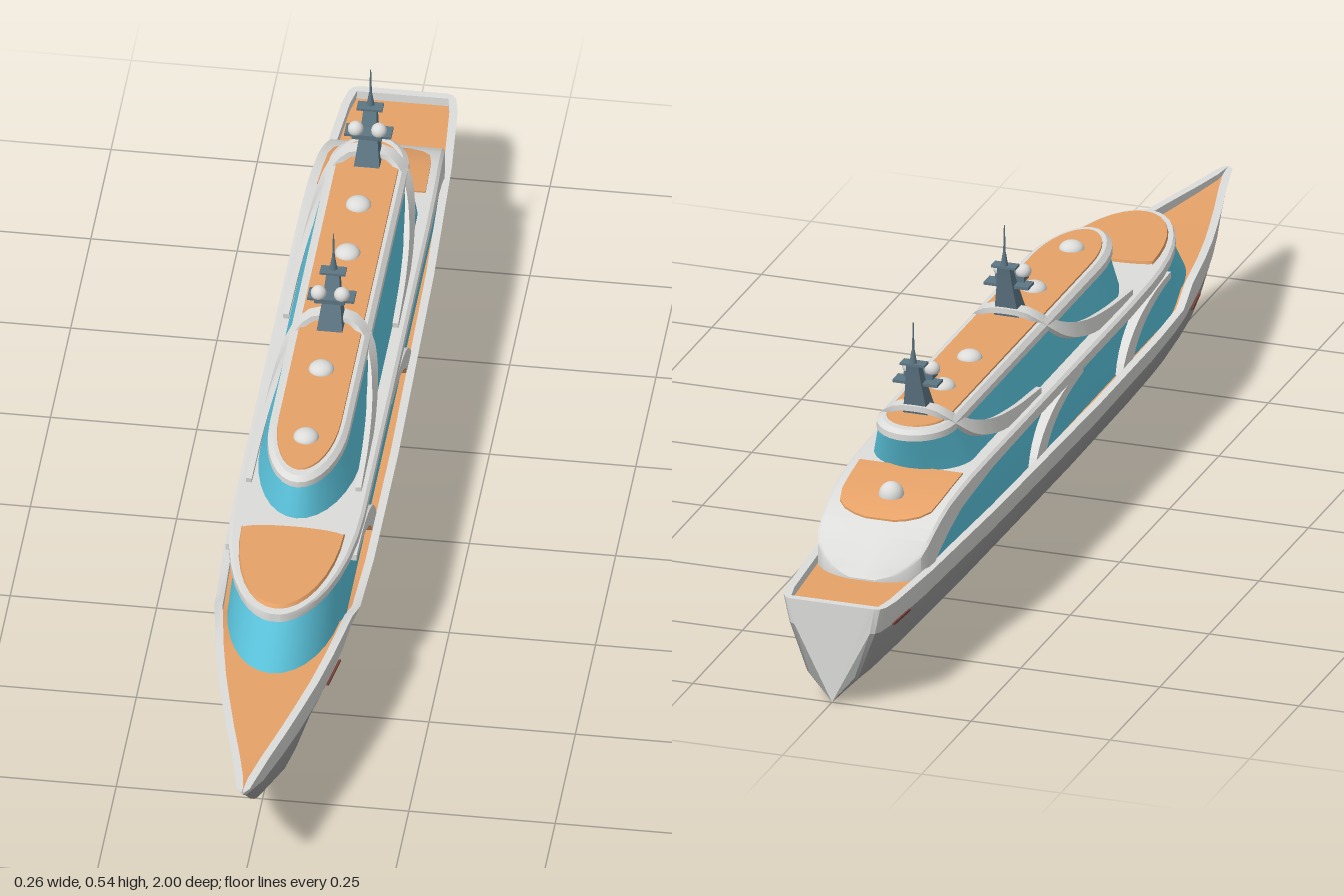
import * as THREE from 'three';
import { toCreasedNormals } from 'three/addons/utils/BufferGeometryUtils.js';

const paint = (name, color) => {
  const m = new THREE.MeshStandardMaterial({ color });
  m.name = name;
  return m;
};

export function createModel() {
  const hullGrey = paint('hullGrey', 0x9a9c9a);
  const trim = paint('trimWhite', 0xdcdcda);
  const wood = paint('deckWood', 0xe6a268);
  const glass = paint('blueGlass', 0x5ac2da);
  const steel = paint('mastSteel', 0x5d7684);
  const red = paint('bottomRed', 0x74403a);
  const model = new THREE.Group();

  const add = (name, geo, mat, parent = model) => {
    const mesh = new THREE.Mesh(geo, mat);
    mesh.name = name;
    parent.add(mesh);
    return mesh;
  };

  // Skin closed rings of [x, y, z]; each ring runs anticlockwise about the loft direction.
  const loft = (rings, columns = () => 0, crease = 0.6) => {
    const n = rings[0].length, buckets = [];
    const put = (m, ...ids) => (buckets[m] ??= []).push(...ids);
    for (let i = 0; i < rings.length - 1; i++) {
      for (let j = 0; j < n; j++) {
        const a = i * n + j, b = i * n + (j + 1) % n;
        put(columns(j, n, i), a, b, b + n, a, b + n, a + n);
      }
    }
    const end = (rings.length - 1) * n;
    for (let j = 1; j < n - 1; j++) {
      put(columns(j, n, 0), 0, j + 1, j);
      put(columns(j, n, rings.length - 2), end, end + j, end + j + 1);
    }
    const geo = new THREE.BufferGeometry();
    geo.setAttribute('position', new THREE.Float32BufferAttribute(rings.flat(2), 3));
    geo.setIndex(buckets.flat());
    let start = 0;
    buckets.forEach((b, m) => { geo.addGroup(start, b.length, m); start += b.length; });
    return toCreasedNormals(geo, crease);
  };
  // Mirror a half ring whose two ends lie on x = 0.
  const mirror = half => [...half, ...half.slice(1, -1).reverse().map(([x, y, z]) => [-x, y, z])];
  const byColumn = list => (j, n) => list[j < n / 2 ? j : n - 1 - j];
  const clamp = THREE.MathUtils.clamp;

  // Hull: z, half width, keel height, rail height, depth of the deck below the rail
  const hullStations = [
    [-1, .076, 0, .18, 0], [-.996, .085, 0, .18, 0], [-.986, .092, 0, .18, 0],
    [-.985, .0922, 0, .18, .015], [-.95, .099, 0, .18, .015], [-.8, .11, 0, .18, .015],
    [-.5, .121, 0, .18, .015], [0, .129, 0, .18, .015], [.3, .128, 0, .18, .015],
    [.43, .123, 0, .18, .015], [.49, .118, 0, .205, .015], [.6, .101, 0, .205, .015],
    [.68, .086, .003, .205, .015], [.75, .07, .018, .205, .015], [.82, .053, .055, .205, .015],
    [.9, .032, .115, .205, .012], [.96, .018, .168, .205, .01], [.99, .011, .192, .205, .006],
    [1, .004, .2, .205, .002],
  ];
  const hullRings = hullStations.map(([z, w, k, top, drop]) => {
    const h = .18 + .025 * clamp((z + .2) / 1.2, 0, 1) - k;
    const widthAt = y => {
      const f = clamp((y - k) / h, 0, 1);
      if (f < .28) return w * .54 * f / .28;
      return f < .72 ? w * (.54 + .34 * (f - .28) / .44) : w * (.88 + .12 * (f - .72) / .28);
    };
    // height where the pale upper band meets the darker lower hull
    const band = Math.max(.134 + .022 * clamp((z - .4) / .5, 0, 1), k + .0005);
    const chine = Math.min(k + h * .28, band);
    const redY = Math.min(Math.max(k + .0003, .017), chine);
    const inner = Math.max(w - .014, .0005);
    return mirror([[0, k, z], [widthAt(redY), redY, z], [widthAt(chine), chine, z],
      [widthAt(band), band, z], [w, top, z], [inner, top, z], [inner, top - drop, z],
      [0, top - drop, z]]);
  });
  const hullColumns = byColumn([1, 0, 0, 2, 2, 2, 3]);
  add('hull', loft(hullRings, (j, n, i) => {
    const m = hullColumns(j, n);
    return m === 3 && i < 3 ? 2 : m;
  }, 0.45), [hullGrey, red, trim, wood]);

  // Slim dark marks under the band near bow and stern
  for (const s of [-1, 1]) {
    for (const [z, x, y, turn] of [[.565, .096, .139, .16], [-.91, .0925, .134, -.06]]) {
      const mark = add('sideFairlead', new THREE.BoxGeometry(.004, .004, .07), red);
      mark.position.set(s * x, y, z);
      mark.rotation.y = -s * turn;
    }
  }

  // Plan outline with rounded nose and tail, used for every cabin level
  const plan = (y, w, front, back, nose, tail) => {
    const half = [], steps = 8;
    for (let i = 0; i <= steps; i++) {
      const a = i / steps * Math.PI / 2;
      half.push([w * Math.sin(a), y, front - nose * (1 - Math.cos(a))]);
    }
    for (let i = steps; i >= 0; i--) {
      const a = i / steps * Math.PI / 2;
      half.push([w * Math.sin(a), y, back + tail * (1 - Math.cos(a))]);
    }
    half[half.length - 1][0] = 0;
    return mirror(half);
  };

  add('lowerCabinGlass', loft([
    plan(.164, .1, .668, -.785, .2, .015), plan(.23, .095, .616, -.7, .2, .015),
    plan(.265, .091, .588, -.58, .2, .015)]), glass);

  // Upper deck slab: rounded at the front, sweeping down to the aft deck
  const curve = (pts, z) => {
    const i = Math.max(1, pts.findIndex(p => p[0] >= z));
    const [a, b] = [pts[i - 1], pts[i]];
    return a[1] + (b[1] - a[1]) * (z - a[0]) / (b[0] - a[0]);
  };
  const topLine = [[-.85, .168], [-.83, .19], [-.79, .225], [-.75, .246], [-.7, .262],
    [-.62, .274], [-.5, .277], [.2, .277], [.36, .281], [.6, .28]];
  const underLine = [[-.85, .16], [-.79, .164], [-.76, .183], [-.72, .209], [-.65, .235],
    [-.55, .25], [-.45, .256], [.2, .256], [.36, .262], [.6, .264]];
  const slabWidth = z => {
    const front = z > .3 ? Math.sin(Math.acos(1 - (.601 - z) / .301)) : 1;
    const back = z < -.5 ? 1 - .16 * ((-.5 - z) / .35) ** 2 : 1;
    const corner = z < -.79 ? Math.sqrt(1 - ((-.79 - z) / .062) ** 2) : 1;
    return .112 * front * back * corner;
  };
  const slabZ = [-.85, -.845, -.838, -.828, -.81, -.79, -.765, -.74, -.7, -.65, -.6, -.5, -.3, 0,
    .2, .3, .36, .42, .47, .51, .545, .57, .585, .595, .6];
  const slabRings = slabZ.map(z => {
    const w = slabWidth(z), t = curve(topLine, z), u = curve(underLine, z);
    return mirror([[0, u, z], [w, u, z], [w, t - .004, z], [w * .95, t, z], [0, t, z]]);
  });
  add('upperDeckSlab', loft(slabRings, byColumn([1, 0, 0, 0])), [trim, wood]);
  add('foreDeck', loft([
    plan(.276, .09, .588, .36, .22, .015), plan(.286, .087, .58, .362, .21, .015)]), wood);
  const terrace = [[-.76, .3], [-.755, .55], [-.745, .8], [-.73, .95], [-.7, 1], [-.66, 1], [-.6, 1]];
  add('aftTerrace', loft(terrace.map(([z, f]) => {
    const w = f * (slabWidth(z) - .018), t = curve(topLine, z);
    return mirror([[0, t - .004, z], [w, t - .004, z], [w, t + .003, z], [0, t + .003, z]]);
  })), wood);

  // Curved side fins, wood on their undersides
  const fin = new THREE.Shape();
  fin.moveTo(.23, .262);
  fin.quadraticCurveTo(.03, .258, -.015, .166);
  fin.lineTo(.035, .166);
  fin.quadraticCurveTo(.075, .236, .23, .25);
  const finGeo = new THREE.ExtrudeGeometry(fin, { depth: .018, bevelEnabled: false, curveSegments: 10 });
  finGeo.rotateY(-Math.PI / 2);
  finGeo.clearGroups();
  const normals = finGeo.attributes.normal;
  for (let i = 0; i < normals.count; i += 3) finGeo.addGroup(i, 3, normals.getY(i) < -.1 ? 1 : 0);
  for (const z of [.165, -.275]) {
    for (const x of [.112, -.094]) add('sideFin', finGeo, [trim, wood]).position.set(x, 0, z);
  }

  // Upper cabin and its roof
  add('upperCabinGlass', loft([
    plan(.27, .09, .335, -.605, .2, .08), plan(.345, .067, .312, -.638, .18, .08)]), glass);
  add('roof', loft([
    plan(.341, .069, .325, -.646, .16, .08), plan(.352, .068, .325, -.646, .16, .08),
    plan(.359, .06, .315, -.638, .16, .08)]), trim);
  add('roofDeck', loft([
    plan(.357, .054, .3, -.624, .14, .06), plan(.362, .053, .298, -.622, .14, .06)]), wood);

  // Satellite domes
  const domeGeo = new THREE.SphereGeometry(.022, 20, 10, 0, Math.PI * 2, 0, Math.PI / 2);
  for (const [y, z] of [[.36, .21], [.36, .02], [.36, -.305], [.36, -.44], [.263, -.7]]) {
    const dome = add('deckDome', domeGeo, trim);
    dome.position.set(0, y, z);
    dome.scale.y = z < -.6 ? 1.1 : .7;
  }

  // Swept arch: a flat band following a mirrored path over the roof
  const archHalf = [[0, .377, -.115], [.035, .373, -.112], [.06, .352, -.095], [.075, .326, -.055],
    [.086, .3, .02], [.092, .284, .12], [.094, .274, .24]];
  const path = new THREE.CatmullRomCurve3([
    ...archHalf.slice(1).reverse().map(([x, y, z]) => new THREE.Vector3(-x, y, z)),
    ...archHalf.map(p => new THREE.Vector3(...p))]);
  const archRings = [];
  for (let i = 0; i <= 48; i++) {
    const p = path.getPointAt(i / 48), t = path.getTangentAt(i / 48);
    const out = new THREE.Vector3(p.x, (p.y - .27) * .8, 0);
    out.addScaledVector(t, -out.dot(t)).normalize();
    const side = new THREE.Vector3().crossVectors(t, out);
    archRings.push([[1, 1], [-1, 1], [-1, -1], [1, -1]].map(([a, b]) =>
      p.clone().addScaledVector(out, a * .005).addScaledVector(side, b * .013).toArray()));
  }
  const archGeo = loft(archRings);

  // Mast with radar platforms, domes and aerial, leaning aft
  const rect = (y, w, d, z) => [[w, y, z + d], [w, y, z - d], [-w, y, z - d], [-w, y, z + d]];
  const columnGeo = loft([rect(.365, .022, .02, -.1), rect(.425, .014, .012, -.118),
    rect(.458, .011, .008, -.128)]);
  const ballGeo = new THREE.SphereGeometry(.0135, 18, 12, 0, Math.PI * 2, 0, Math.PI * .65);
  for (const offset of [0, -.46]) {
    const mast = new THREE.Group();
    mast.name = 'mastAssembly';
    mast.position.z = offset;
    model.add(mast);
    add('sweptArch', archGeo, trim, mast);
    add('mastColumn', columnGeo, steel, mast);
    for (const [name, w, h, d, y, z] of [['radarPlatform', .08, .005, .03, .421, -.108],
      ['domeShelf', .052, .009, .026, .4285, -.092], ['topPlatform', .044, .004, .022, .46, -.126]]) {
      add(name, new THREE.BoxGeometry(w, h, d), steel, mast).position.set(0, y, z);
    }
    for (const x of [-.02, .02]) add('radarDome', ballGeo, trim, mast).position.set(x, .4385, -.09);
    add('aerialBase', new THREE.CylinderGeometry(.003, .007, .025, 8), steel, mast)
      .position.set(0, .473, -.13);
    add('aerial', new THREE.CylinderGeometry(.001, .0025, .055, 8), steel, mast)
      .position.set(0, .508, -.13);
  }
  return model;
}
